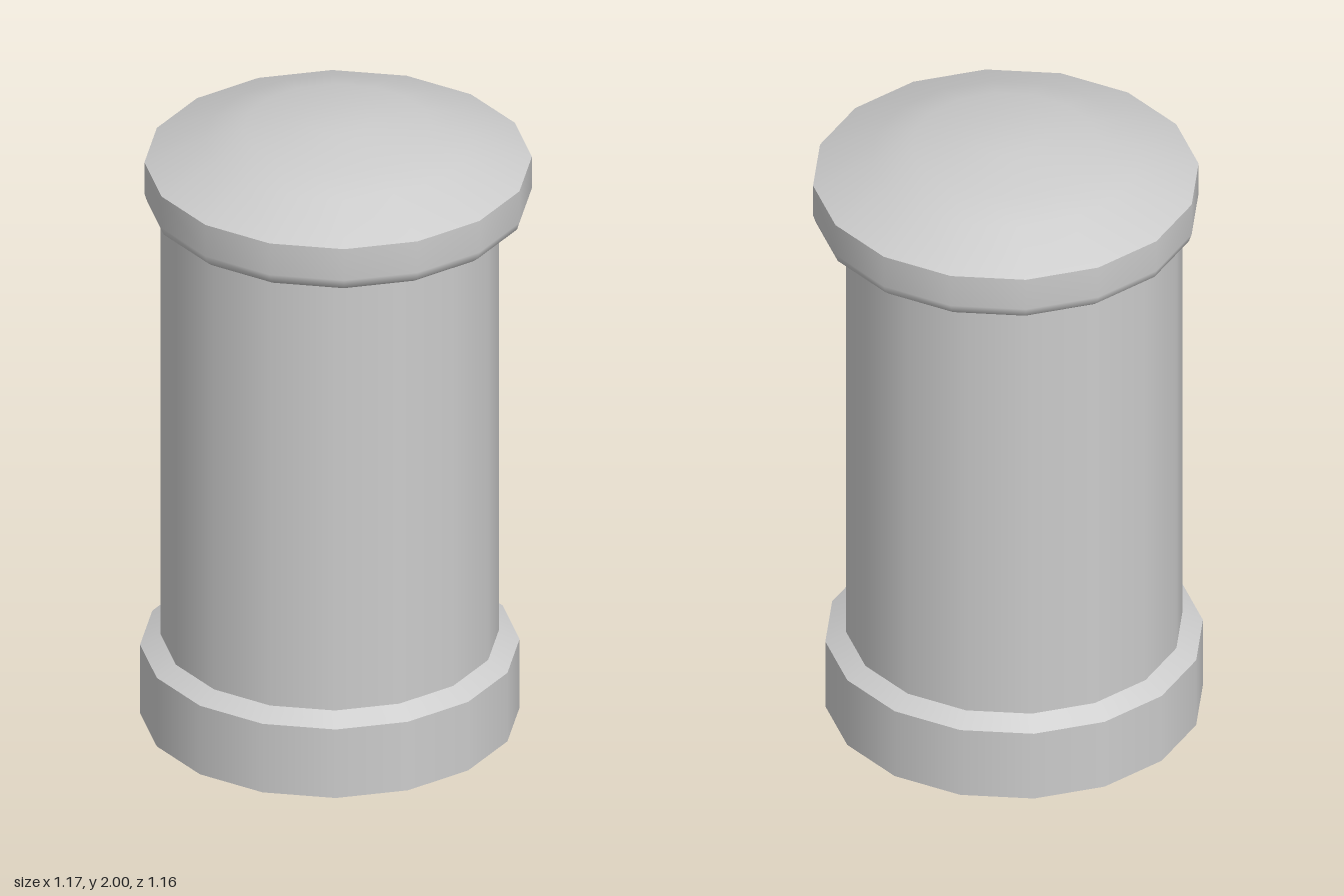
import * as THREE from 'three';

const SIDES = 16;
const PHASE = THREE.MathUtils.degToRad(7);

// Smooth 16-sided surface of revolution; separate bands keep a crease between them.
function band(name, points, material) {
  const profile = points.map(([r, y]) => new THREE.Vector2(r, y));
  const mesh = new THREE.Mesh(new THREE.LatheGeometry(profile, SIDES, PHASE), material);
  mesh.name = name;
  return mesh;
}

export function createModel() {
  const grey = new THREE.MeshStandardMaterial({ color: 0xcccccc });
  const greyThin = new THREE.MeshStandardMaterial({ color: 0xcccccc, side: THREE.DoubleSide });

  // Foot: a thin skirt open underneath, with a sloping shoulder
  const base = new THREE.Group();
  base.name = 'base';
  base.add(
    band('baseSkirt', [[0.57, 0], [0.57, 0.232]], greyThin),
    band('baseShoulder', [[0.57, 0.232], [0.508, 0.264]], grey),
    band('baseCeiling', [[0, 0.264], [0.508, 0.264], [0.57, 0.232]], grey),
  );

  // Straight column
  const column = band('column', [[0.508, 0.264], [0.508, 1.73]], grey);

  // Foot and column share an axis slightly off the lid's
  const shaft = new THREE.Group();
  shaft.name = 'shaft';
  shaft.position.x = -0.021;
  shaft.add(base, column);

  // Overhanging lid: rounded rim and shallow dome
  const lid = new THREE.Group();
  lid.name = 'lid';
  lid.position.x = 0.004;
  lid.add(
    band('lidRim', [[0, 1.72], [0.555, 1.72], [0.574, 1.735], [0.582, 1.76], [0.582, 1.866]], grey),
    band('lidDome', [[0.582, 1.866], [0.405, 1.94], [0.285, 1.974], [0.1, 2], [0, 2]], grey),
  );

  const model = new THREE.Group();
  model.name = 'post';
  model.add(shaft, lid);
  return model;
}
